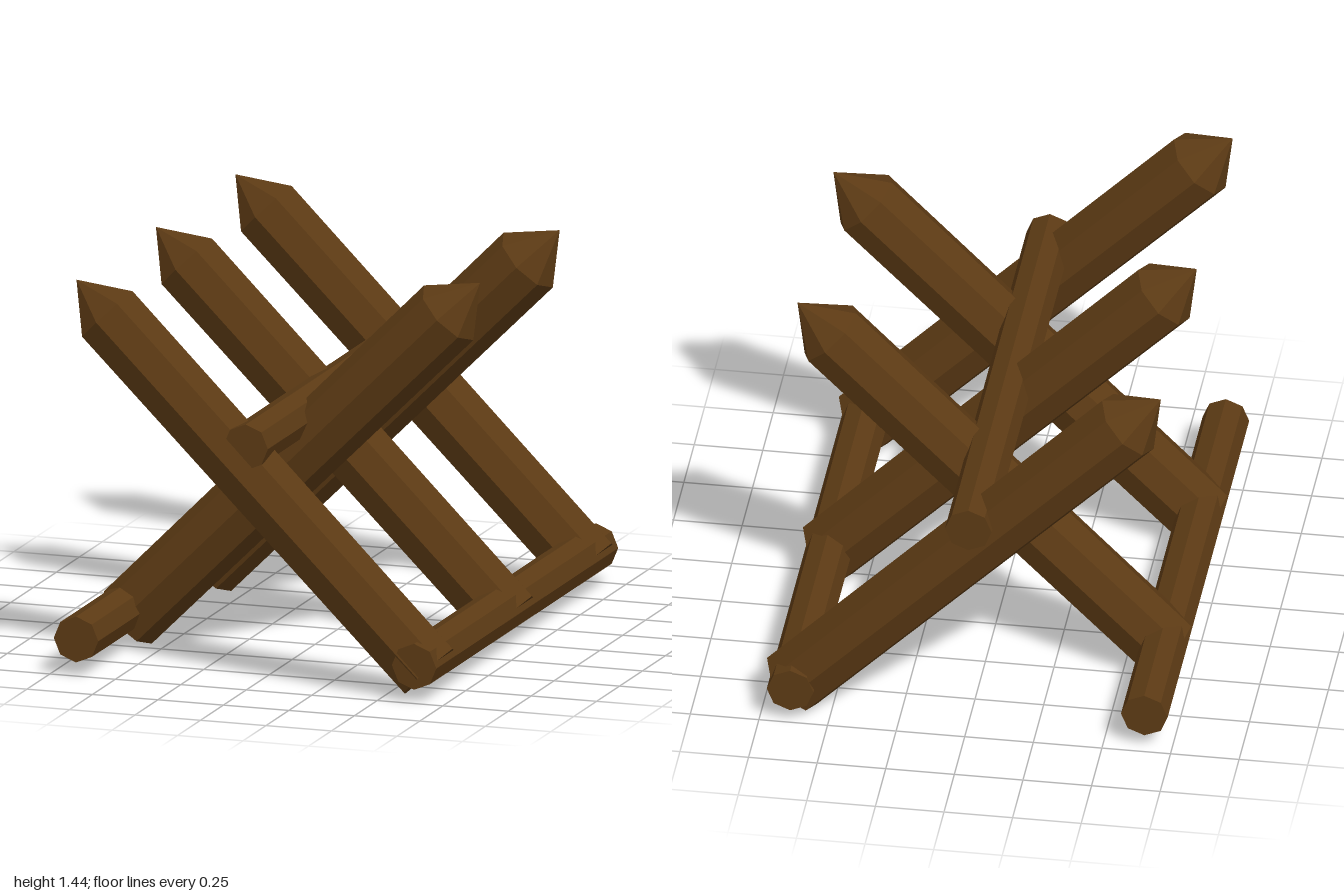
import * as THREE from 'three';

export function createModel() {
  const group = new THREE.Group();
  group.name = 'spikedBarricade';
  const wood = new THREE.MeshStandardMaterial({ color: 0x5c3a14, flatShading: true });

  // Sharpened stake: octagonal shaft from a foot point up at 45 degrees, with a cone tip
  const radius = 0.13, shaftLength = 1.732, tipLength = 0.17;
  const profile = [[0, 0], [0.128, 0], [0.133, shaftLength], [0, shaftLength + tipLength]]
    .map(([r, y]) => new THREE.Vector2(r, y));
  const stakeGeometry = new THREE.LatheGeometry(profile, 8);
  stakeGeometry.scale(1, 1, radius / 0.133);

  function addStake(z, side) {
    const stake = new THREE.Mesh(stakeGeometry, wood);
    stake.name = side > 0 ? 'stakeLeaningRight' : 'stakeLeaningLeft';
    stake.position.set(side * 0.65, 0.1, z);
    stake.rotation.z = side * Math.PI / 4;
    group.add(stake);
  }

  // Five stakes alternating in direction along the length
  for (let i = -2; i <= 2; i++) addStake(i * 0.4335, i % 2 === 0 ? 1 : -1);

  // Octagonal rails running front to back
  function addRail(name, x, y, zBack, zFront) {
    const geometry = new THREE.CylinderGeometry(0.085, 0.085, zFront - zBack, 8);
    geometry.rotateX(Math.PI / 2);
    const rail = new THREE.Mesh(geometry, wood);
    rail.name = name;
    rail.position.set(x, y, (zBack + zFront) / 2);
    group.add(rail);
  }
  addRail('topRail', -0.013, 0.9, -1, 0.97);
  addRail('lowerRailRight', -0.65, 0.145, -0.97, 1);
  addRail('lowerRailLeft', 0.637, 0.143, -0.995, 0.99);

  return group;
}
